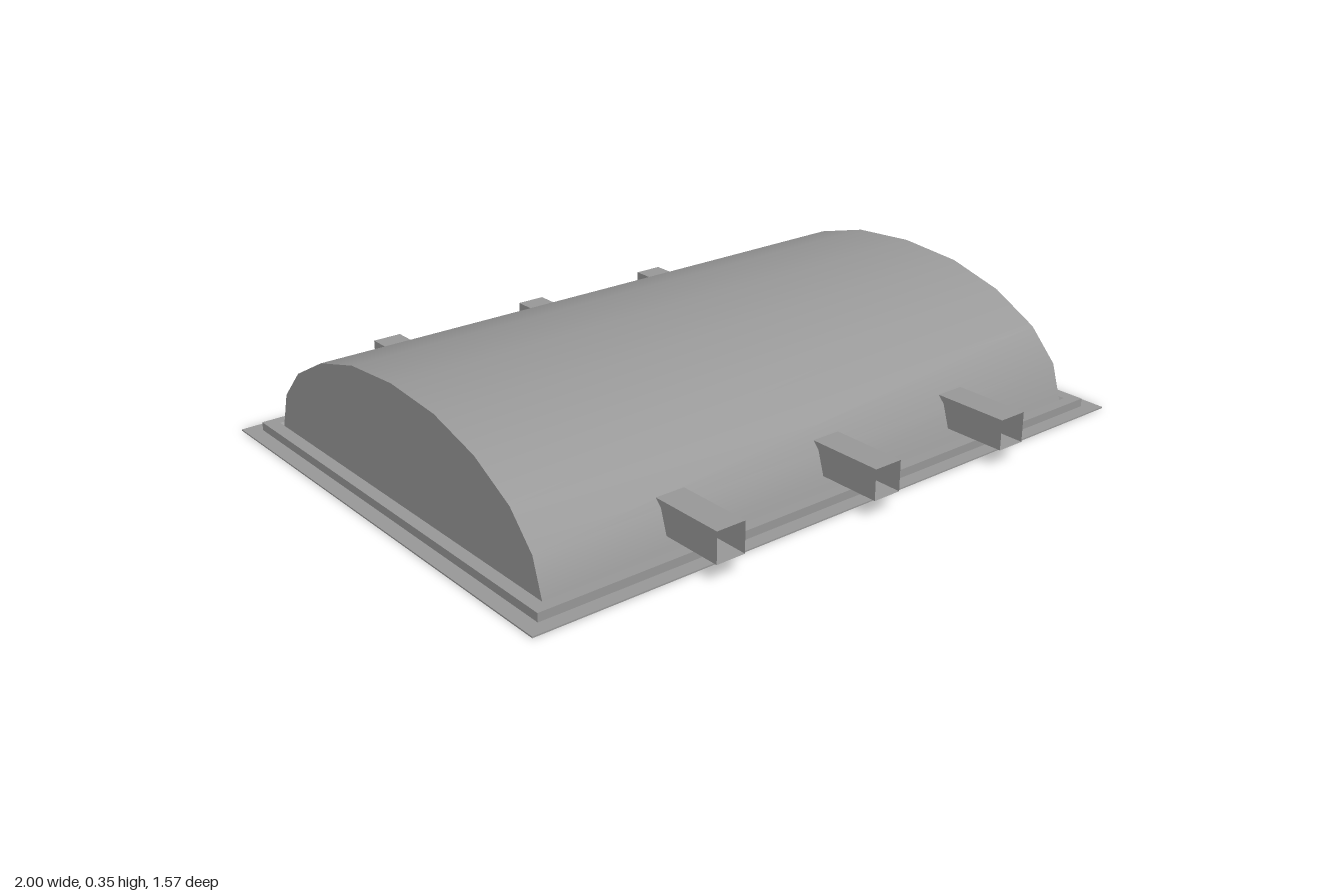
import * as THREE from 'three';

const CZ = -0.02; // the roof and its frame sit slightly towards the back
const HALF_LENGTH = 0.912;

// Half of the arch, from the eave to the ridge: [half width, height]
const ARCH = [[0.63, 0.02], [0.597, 0.125], [0.512, 0.215], [0.37, 0.29], [0.198, 0.337], [0, 0.352]];

// Frame sheet from the outer edge inwards: [half length x, half depth z, height]
const FRAME = [
  [1, 0.717, 0], [1, 0.717, 0.004], [0.956, 0.675, 0.004], [0.956, 0.675, 0.028],
  [0.919, 0.64, 0.028], [HALF_LENGTH, 0.63, 0.02],
];

function sheet(positions, index) {
  const geometry = new THREE.BufferGeometry();
  geometry.setAttribute('position', new THREE.Float32BufferAttribute(positions, 3));
  geometry.setIndex(index);
  return geometry;
}

// Curved skin running along x, open underneath
function vaultGeometry(profile) {
  const positions = [], index = [];
  profile.forEach(([z, y], i) => {
    positions.push(-HALF_LENGTH, y, z, HALF_LENGTH, y, z);
    if (i > 0) {
      const a = 2 * (i - 1);
      index.push(a, a + 1, a + 3, a, a + 3, a + 2);
    }
  });
  const geometry = sheet(positions, index);
  geometry.computeVertexNormals();
  return geometry;
}

// Stepped rectangular rings joined into one hollow sheet, with a shallow groove at the eaves
function frameGeometry() {
  const positions = [], index = [];
  FRAME.forEach(([x, z, y], i) => {
    positions.push(-x, y, z, x, y, z, x, y, -z, -x, y, -z);
    if (i === 0) return;
    for (let k = 0; k < 4; k++) {
      const a = 4 * (i - 1) + k, b = 4 * (i - 1) + (k + 1) % 4;
      index.push(a, b, b + 4, a, b + 4, a + 4);
    }
  });
  const geometry = sheet(positions, index).toNonIndexed();
  geometry.computeVertexNormals();
  return geometry;
}

// Square tube along z: a box without its two end faces
function tubeGeometry() {
  const geometry = new THREE.BoxGeometry(0.087, 0.087, 1.565);
  geometry.setIndex(Array.from(geometry.index.array).slice(0, 24));
  geometry.clearGroups();
  return geometry;
}

export function createModel() {
  const group = new THREE.Group();
  const material = new THREE.MeshStandardMaterial({ color: 0x999999, side: THREE.DoubleSide });
  const add = (name, geometry, x, y, z) => {
    const mesh = new THREE.Mesh(geometry, material);
    mesh.name = name;
    mesh.position.set(x, y, z);
    group.add(mesh);
    return mesh;
  };

  // Front eave over the ridge to the back eave
  const profile = [...ARCH, ...ARCH.slice(0, -1).reverse().map(([z, y]) => [-z, y])];
  add('vaultedRoof', vaultGeometry(profile), 0, 0, CZ);

  // Flat walls closing both ends of the vault
  const endShape = new THREE.Shape(profile.map(([z, y]) => new THREE.Vector2(z, y)));
  for (const side of [-1, 1]) {
    const wall = add(side > 0 ? 'leftEndWall' : 'rightEndWall',
      new THREE.ShapeGeometry(endShape), side * HALF_LENGTH, 0, CZ);
    wall.rotation.y = side * Math.PI / 2;
  }

  // Flange and raised step around the base
  add('baseFrame', frameGeometry(), 0, 0, CZ);

  // Hollow cross beams passing through the vault
  for (const x of [-0.498, 0.019, 0.49]) add('crossBeam', tubeGeometry(), x, 0.102, 0);

  return group;
}
